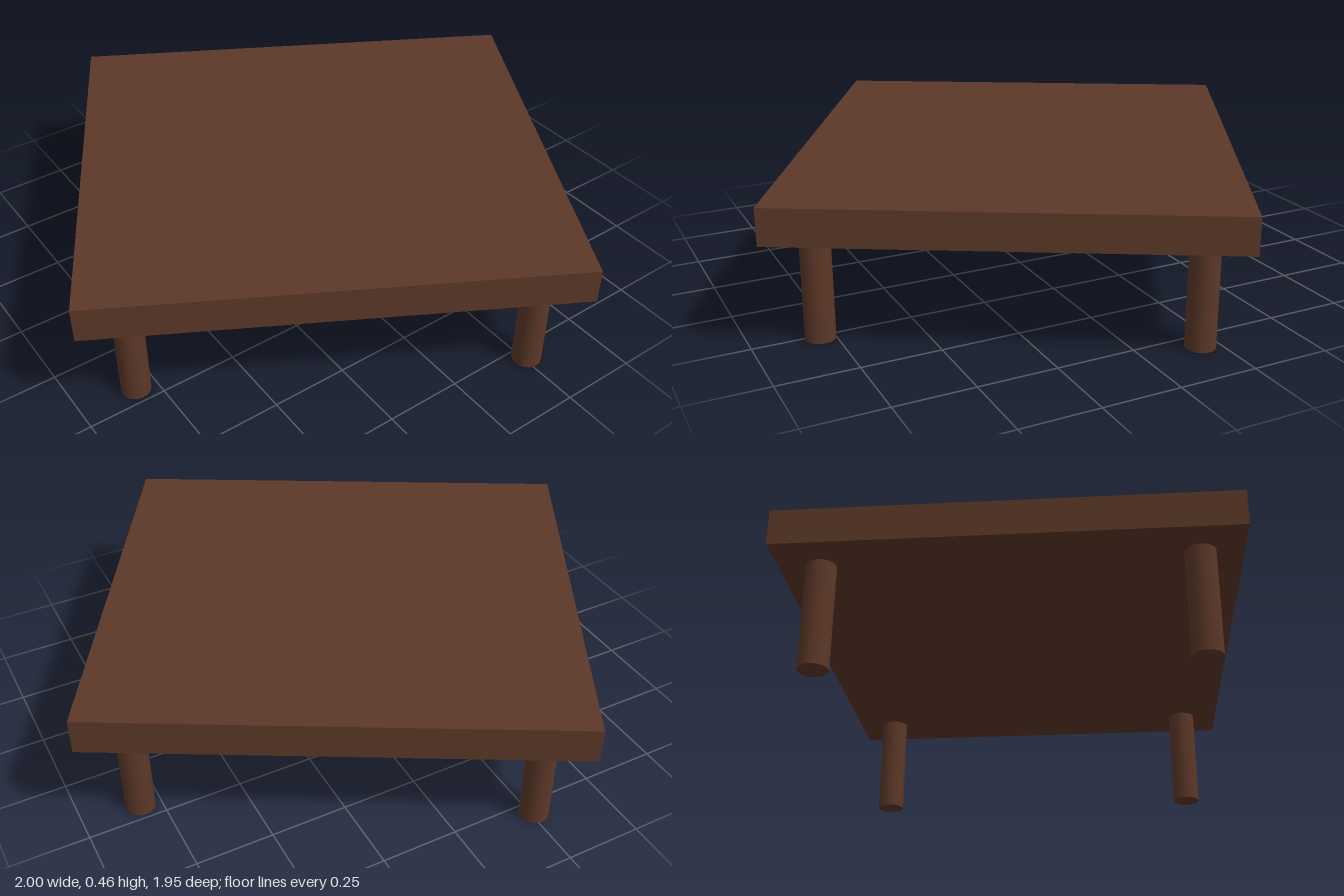
import * as THREE from 'three';

export function createModel() {
  const model = new THREE.Group();
  model.name = 'lowTable';
  const wood = new THREE.MeshStandardMaterial({ color: 0x5c3828 });
  const width = 1.513, depth = 1.388, thickness = 0.115, legHeight = 0.343;

  // Rectangular slab top
  const top = new THREE.Mesh(new THREE.BoxGeometry(width, thickness, depth), wood);
  top.name = 'tableTop';
  top.position.y = legHeight + thickness / 2;
  model.add(top);

  // Four round legs, inset from the corners
  const legGeometry = new THREE.CylinderGeometry(0.047, 0.047, legHeight, 16);
  for (const [sz, end] of [[1, 'front'], [-1, 'back']]) {
    for (const [sx, side] of [[1, 'Left'], [-1, 'Right']]) {
      const leg = new THREE.Mesh(legGeometry, wood);
      leg.name = `${end}${side}Leg`;
      leg.position.set(sx * 0.617, legHeight / 2, sz * 0.564);
      model.add(leg);
    }
  }

  // The whole table stands turned about its vertical axis
  model.rotation.y = THREE.MathUtils.degToRad(-29.3);
  return model;
}
